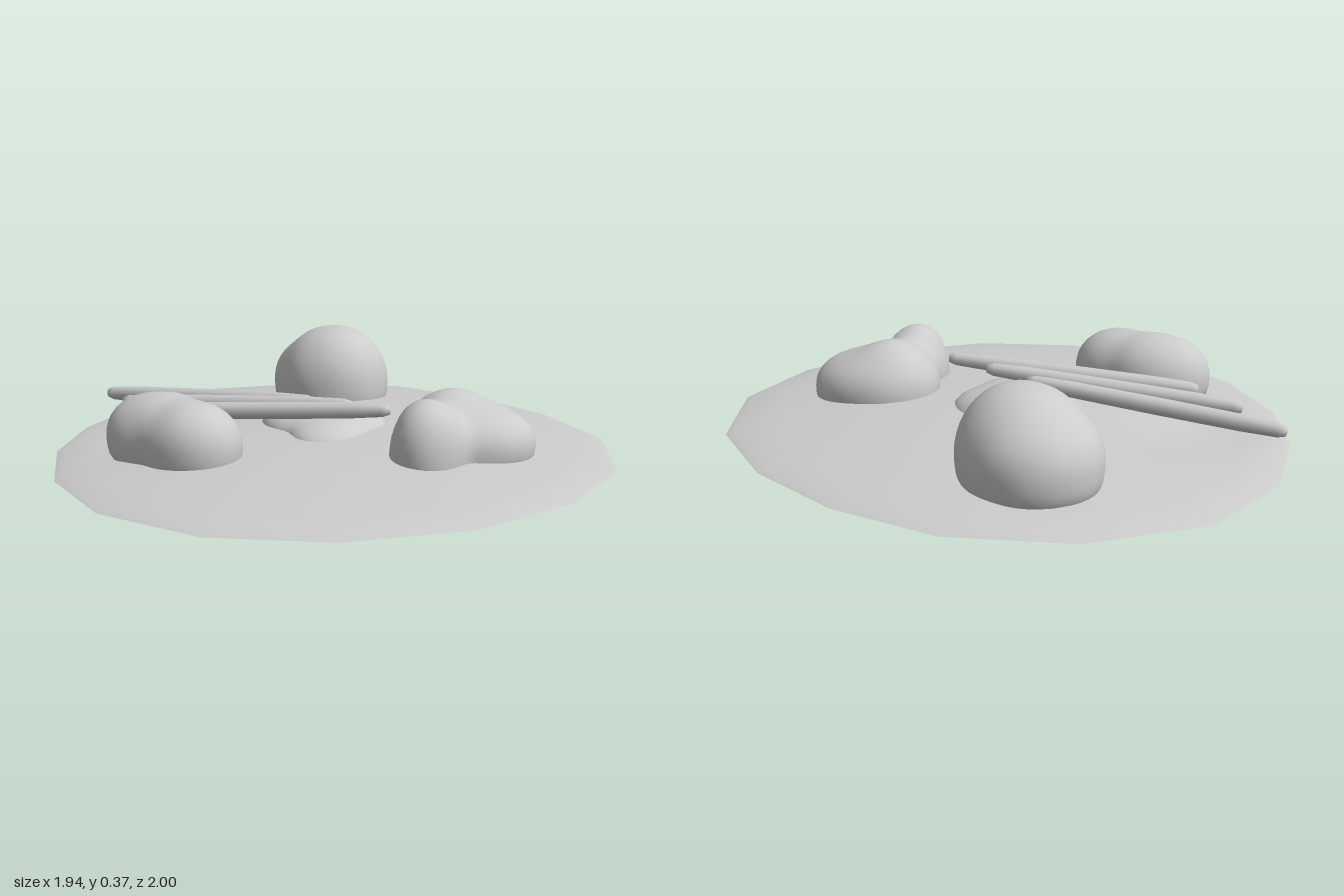
import * as THREE from 'three';
import { mergeVertices, toCreasedNormals } from 'three/addons/utils/BufferGeometryUtils.js';

const grey = new THREE.MeshStandardMaterial({ color: 0xcccccc });

// Rim corners of the ground plate, [x, z]
const outline = [
  [-0.05, -1], [0.31, -0.89], [0.62, -0.69], [0.87, -0.39], [0.97, 0], [0.89, 0.38], [0.67, 0.71], [0.33, 0.93],
  [-0.05, 1], [-0.43, 0.9], [-0.72, 0.65], [-0.9, 0.33], [-0.97, 0], [-0.95, -0.38], [-0.78, -0.73], [-0.44, -0.95],
];

// Thin domed shell: rings run from the top centre over the rim and back along the hollow underside
function plateGeometry() {
  const top = [0, 0.2, 0.4, 0.55, 0.7, 0.85, 0.97];
  const rings = [...top.map(t => [t, 0]), [1, 0.006], ...top.toReversed().map(t => [t, 0.013])];
  const n = outline.length, pos = [], idx = [];
  for (const [t, drop] of rings) {
    for (const [ox, oz] of outline) {
      const x = ox * t, z = oz * t;
      const dent = 0.05 * Math.exp(-((x + 0.68) ** 2) / 0.03 - z ** 2 / 0.05) * (1 - t ** 6);
      pos.push(x, 0.057 + 0.01 * x + 0.005 * z + 0.076 * (1 - t ** 2) - dent - drop, z);
    }
  }
  for (let i = 0; i < rings.length - 1; i++) {
    for (let j = 0; j < n; j++) {
      const a = i * n + j, b = i * n + (j + 1) % n;
      if (rings[i][0] > 0) idx.push(a, b, a + n);
      if (rings[i + 1][0] > 0) idx.push(b, b + n, a + n);
    }
  }
  const g = new THREE.BufferGeometry();
  g.setAttribute('position', new THREE.Float32BufferAttribute(pos, 3));
  g.setIndex(idx);
  return toCreasedNormals(g, 0.6);
}

// Rock: a sphere pushed out to the blended surface of its lobes, domed above and blunt below
// lobe = [x, z, radiusX, radiusZ, heightUp]; y0 is the widest level, down the depth below it
function rockGeometry(lobes, y0, down, origin) {
  let g = new THREE.IcosahedronGeometry(1, 9);
  g.deleteAttribute('normal');
  g.deleteAttribute('uv');
  g = mergeVertices(g, 1e-4);
  const p = g.attributes.position, d = new THREE.Vector3();
  const field = s => lobes.reduce((sum, [x, z, rx, rz, up]) => {
    const h = Math.hypot((origin[0] + d.x * s - x) / rx, (origin[1] + d.z * s - z) / rz);
    const v = Math.abs(d.y * s) / (d.y > 0 ? up : down);
    const e = d.y > 0 ? 2.1 : 3;
    return sum + (h ** e + v ** e + 1e-9) ** (-5 / e);
  }, 0);
  for (let i = 0; i < p.count; i++) {
    d.fromBufferAttribute(p, i).normalize();
    let lo = 0, hi = 0.7;
    for (let k = 0; k < 24; k++) {
      const mid = (lo + hi) / 2;
      if (field(mid) > 1) lo = mid; else hi = mid;
    }
    // slight hand-shaped unevenness
    const s = lo * (1 + 0.012 * Math.sin(5 * d.x + 3 * d.z) * Math.cos(4 * d.y + 2 * d.x));
    p.setXYZ(i, origin[0] + d.x * s, y0 + d.y * s, origin[1] + d.z * s);
  }
  g.computeVertexNormals();
  return g;
}

// Round stick with blunt, tapered ends
function stick(from, to) {
  const a = new THREE.Vector3(...from), b = new THREE.Vector3(...to);
  const len = a.distanceTo(b), h = len / 2;
  const profile = [[0, -h], [0.017, -h + 0.004], [0.025, -h + 0.03], [0.029, -h + 0.15], [0.03, 0],
    [0.028, h - 0.15], [0.023, h - 0.03], [0.015, h - 0.004], [0, h]].map(q => new THREE.Vector2(...q));
  const m = new THREE.Mesh(new THREE.LatheGeometry(profile, 12), grey);
  m.position.copy(a).lerp(b, 0.5);
  m.quaternion.setFromUnitVectors(new THREE.Vector3(0, 1, 0), b.sub(a).normalize());
  return m;
}

export function createModel() {
  const model = new THREE.Group();
  const add = (name, mesh) => { mesh.name = name; model.add(mesh); };

  add('groundPlate', new THREE.Mesh(plateGeometry(), grey));

  // Rocks sunk through the plate
  const rocks = {
    backRock: [[[-0.245, -0.635, 0.2, 0.188, 0.165], [-0.185, -0.57, 0.185, 0.182, 0.22]], 0.145, 0.127, [-0.22, -0.61]],
    frontRock: [[[-0.485, 0.363, 0.185, 0.145, 0.15], [-0.325, 0.44, 0.155, 0.135, 0.142]], 0.14, 0.108, [-0.41, 0.395]],
    sideRock: [[[0.49, 0.045, 0.215, 0.18, 0.125], [0.42, 0.035, 0.13, 0.125, 0.155],
      [0.395, 0.25, 0.115, 0.12, 0.172]], 0.135, 0.112, [0.45, 0.13]],
    middleRock: [[[-0.058, -0.06, 0.226, 0.188, 0.08], [0.005, 0.1, 0.11, 0.13, 0.055]], 0.108, 0.08, [-0.03, 0]],
  };
  for (const [name, args] of Object.entries(rocks)) add(name, new THREE.Mesh(rockGeometry(...args), grey));

  // Three sticks fanned out over the middle rock
  const sticks = new THREE.Group();
  sticks.add(
    stick([-0.96, 0.14, -0.16], [-0.08, 0.205, -0.02]),
    stick([-0.81, 0.155, 0.005], [0.08, 0.22, 0.045]),
    stick([-0.65, 0.165, 0.14], [0.235, 0.23, 0.11]),
  );
  sticks.children.forEach((s, i) => { s.name = `stick${i + 1}`; });
  add('sticks', sticks);
  return model;
}
